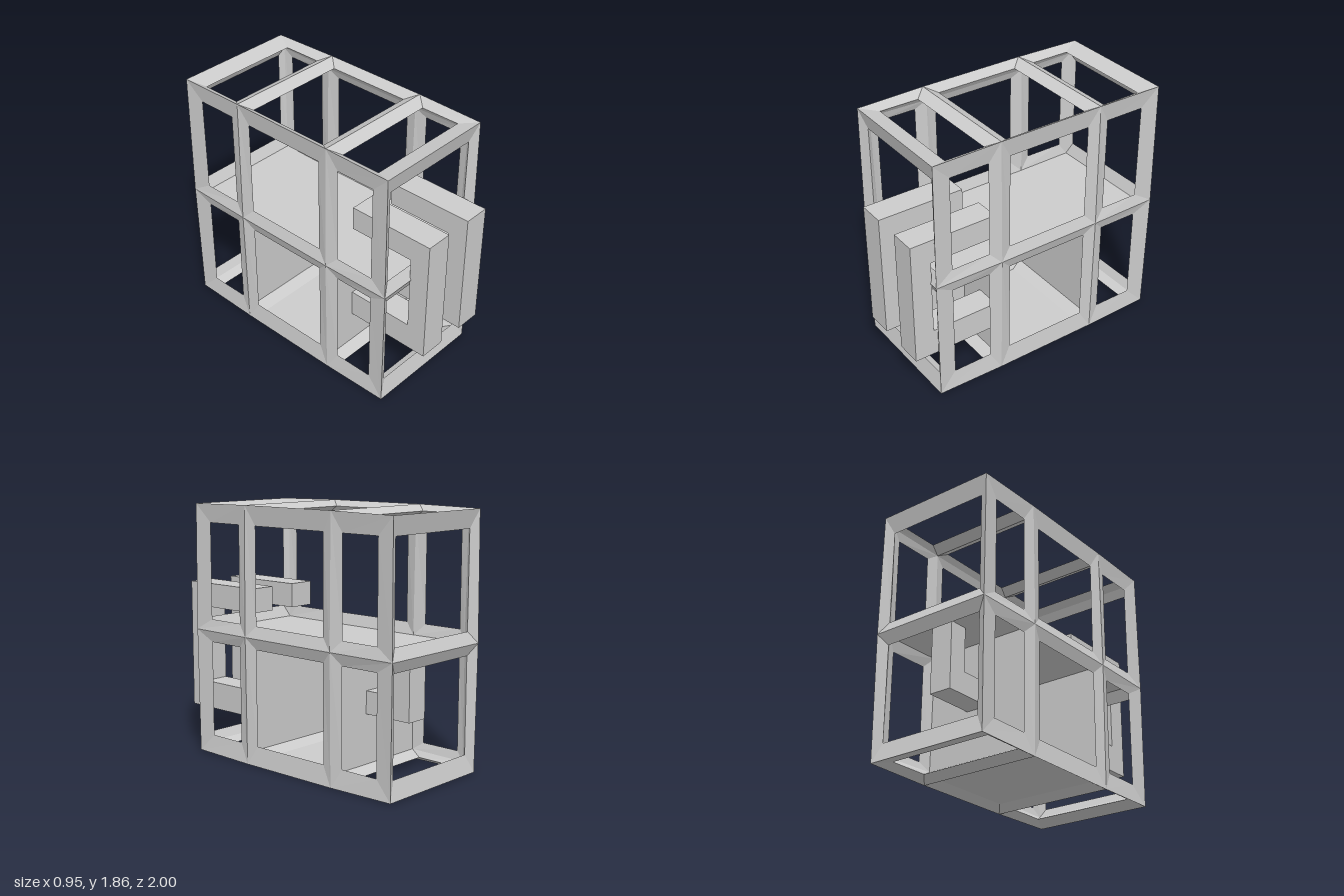
import * as THREE from 'three';

const grey = (side = THREE.FrontSide) =>
  new THREE.MeshStandardMaterial({ color: 0xcccccc, flatShading: true, side });

// Grid lines of the cage along x, y and z
const GRID = [
  [-0.445, 0.445],
  [0.042, 0.932, 1.822],
  [-0.957, -0.473, 0.338, 0.818],
];
const THICK = [0.03, 0.06, 0.06]; // ridge offset along each axis
const RIM = [0.05, 0.1, 0.1];     // beam width at the outer edges
const MID = 0.085;                // half width of the dividing beams

// Grid point pushed out (k = 1) or in (k = -1) to make the beam ridges
function ridge(index, k) {
  const n = index.map((i, a) => (i === 0 ? -1 : i === GRID[a].length - 1 ? 1 : 0));
  const len = Math.hypot(...n);
  return index.map((i, a) => GRID[a][i] + (k * THICK[a] * n[a]) / len);
}

// Cage of wedge-shaped beams: every cell of the box surface becomes a mitred ring
function cageGeometry() {
  const pos = [];
  const quad = (a, b, c, d) => pos.push(...a, ...b, ...c, ...a, ...c, ...d);
  const inset = (axis, i, dir) => {
    const edge = i === 0 || i === GRID[axis].length - 1;
    return GRID[axis][i] + dir * (edge ? RIM[axis] : MID);
  };
  for (let a = 0; a < 3; a++) {
    const u = (a + 1) % 3, v = (a + 2) % 3;
    for (const end of [0, GRID[a].length - 1]) {
      for (let i = 0; i < GRID[u].length - 1; i++) {
        for (let j = 0; j < GRID[v].length - 1; j++) {
          const corners = [[0, 0], [1, 0], [1, 1], [0, 1]].map(([du, dv]) => {
            const index = [], hole = [];
            index[a] = end; index[u] = i + du; index[v] = j + dv;
            hole[a] = GRID[a][end];
            hole[u] = inset(u, i + du, du ? -1 : 1);
            hole[v] = inset(v, j + dv, dv ? -1 : 1);
            return { out: ridge(index, 1), inn: ridge(index, -1), hole };
          });
          if (end === 0) corners.reverse();
          corners.forEach((p, k) => {
            const q = corners[(k + 1) % 4];
            quad(p.out, q.out, q.hole, p.hole);
            quad(q.inn, p.inn, p.hole, q.hole);
          });
        }
      }
    }
  }
  const g = new THREE.BufferGeometry();
  g.setAttribute('position', new THREE.Float32BufferAttribute(pos, 3));
  g.computeVertexNormals();
  return g;
}

// Solid bracket: a side outline of [z, y] points extruded from x0 to x1
function bracket(name, outline, x0, x1) {
  const shape = new THREE.Shape(outline.map(([z, y]) => new THREE.Vector2(-z, y)));
  const g = new THREE.ExtrudeGeometry(shape, { depth: x1 - x0, bevelEnabled: false });
  g.rotateY(Math.PI / 2).translate(x0, 0, 0);
  const m = new THREE.Mesh(g, grey());
  m.name = name;
  return m;
}

// Thin sheet centred at a point
function panel(name, w, h, y, z, flat) {
  const g = new THREE.PlaneGeometry(w, h);
  if (flat) g.rotateX(-Math.PI / 2);
  const m = new THREE.Mesh(g, grey(THREE.DoubleSide));
  m.name = name;
  m.position.set(0, y, z);
  return m;
}

export function createModel() {
  const model = new THREE.Group();
  model.name = 'cagedFrame';

  const cage = new THREE.Mesh(cageGeometry(), grey());
  cage.name = 'cage';
  model.add(cage);

  // Full-length shelf, and the floor and walls of the middle compartment
  const [X, [y0, ym], [zBack, zA, zB, zFront]] = GRID;
  const w = X[1] - X[0];
  model.add(
    panel('shelf', w, zFront - zBack, ym, (zFront + zBack) / 2, true),
    panel('floor', w, zB - zA, y0, (zA + zB) / 2, true),
    panel('frontWall', w, ym - y0, (y0 + ym) / 2, zB, false),
    panel('backWall', w, ym - y0, (y0 + ym) / 2, zA, false),
  );

  // Two C-shaped handles on the front
  const handle = [
    [zB, 0.33], [1, 0.33], [1, 1.27], [zB, 1.27],
    [zB, 1.095], [0.85, 1.095], [0.85, 0.53], [zB, 0.53],
  ];
  model.add(
    bracket('frontHandleRight', handle, -0.2, 0),
    bracket('frontHandleLeft', handle, 0.2, 0.395),
  );

  // L-shaped bracket under the shelf at the back
  const hook = [
    [zA, 0.445], [zA, 0.61], [-0.71, 0.61],
    [-0.71, 0.93], [-0.85, 0.93], [-0.85, 0.445],
  ];
  model.add(bracket('backBracket', hook, -0.07, 0.1));

  return model;
}
